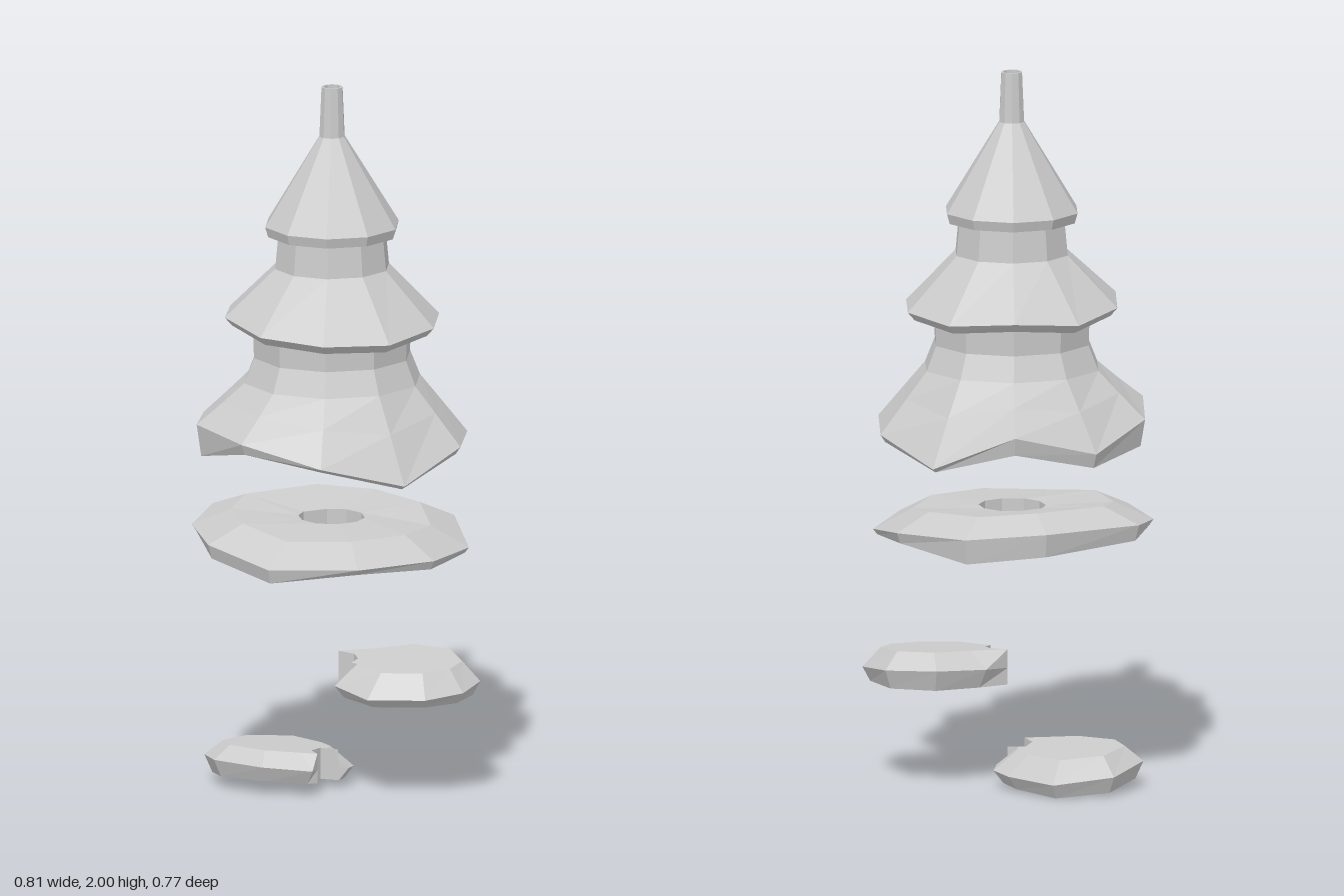
import * as THREE from 'three';

const CX = -0.013, CZ = -0.005, N = 10;

// Skins a stack of equal-length rings (outer side: top ring first) with flat quads
function loft(name, rings, wrap) {
  const pos = [];
  const n = rings[0].length;
  const last = wrap ? rings.length : rings.length - 1;
  for (let i = 0; i < last; i++) {
    const up = rings[i], low = rings[(i + 1) % rings.length];
    for (let j = 0; j < n; j++) {
      const k = (j + 1) % n;
      pos.push(...low[j], ...low[k], ...up[k], ...low[j], ...up[k], ...up[j]);
    }
  }
  const geo = new THREE.BufferGeometry();
  geo.setAttribute('position', new THREE.Float32BufferAttribute(pos, 3));
  geo.computeVertexNormals();
  const mat = new THREE.MeshStandardMaterial({ color: 0xcccccc, flatShading: true, side: THREE.DoubleSide });
  const mesh = new THREE.Mesh(geo, mat);
  mesh.name = name;
  return mesh;
}

// Ten-sided ring round the trunk axis; y is one height or one per corner
function ring(r, y) {
  return Array.from({ length: N }, (_, k) => {
    const a = (k / N) * Math.PI * 2;
    return [CX + r * Math.sin(a), Array.isArray(y) ? y[k] : y, CZ + r * Math.cos(a)];
  });
}

// Three flared tiers, hollow for the trunk
function upperTiers() {
  const hem = [1.0, 0.94, 1.01, 1.0, 0.94, 1.04, 0.98, 1.04, 1.06, 1.05];
  const lip = [0.99, 0.93, 0.99, 0.98, 0.93, 0.99, 0.94, 0.965, 0.97, 1.02];
  const midHem = [1.33, 1.325, 1.34, 1.34, 1.33, 1.345, 1.33, 1.35, 1.36, 1.34];
  const shoulder = hem.map(y => 1.095 + (y - 1.0) * 0.4);
  return loft('upperFoliage', [
    ring(0.03, 2), ring(0.036, 1.86),
    ring(0.19, 1.61), ring(0.182, 1.582), ring(0.152, 1.592),
    ring(0.162, 1.49), ring(0.305, midHem), ring(0.285, midHem.map(y => y - 0.023)), ring(0.225, 1.325),
    ring(0.222, 1.24), ring(0.25, 1.17), ring(0.31, shoulder), ring(0.385, hem), ring(0.372, lip),
    ring(0.1, 0.985), ring(0.09, 1.15), ring(0.024, 1.86), ring(0.024, 2),
  ], true);
}

// Wavy loose ring of foliage: rows are x, z, rim height, underside height
function lowerRing() {
  const rim = [
    [0.09, 0.375, 0.715, 0.70], [0.29, 0.245, 0.715, 0.69], [0.37, 0.03, 0.705, 0.69],
    [0.31, -0.21, 0.74, 0.71], [0.125, -0.37, 0.75, 0.68], [-0.1, -0.375, 0.765, 0.70],
    [-0.36, -0.215, 0.76, 0.715], [-0.405, -0.035, 0.742, 0.725], [-0.34, 0.205, 0.74, 0.70],
    [-0.16, 0.37, 0.71, 0.67],
  ];
  const scaled = (s, fy) => rim.map(p => [CX + (p[0] - CX) * s, fy(p), CZ + (p[1] - CZ) * s]);
  return loft('lowerFoliageRing', [
    scaled(0.24, () => 0.778),
    scaled(0.72, p => 0.785 + (p[2] - 0.735) * 0.7),
    scaled(1, p => p[2]),
    scaled(0.97, p => p[3]),
    scaled(0.6, () => 0.705),
    scaled(0.24, () => 0.712),
  ], true);
}

// Chunky clump; the last four corners form a notch for the trunk and keep straight walls
function clump(name, outline, [cx, cz], top, rim, bottom) {
  const scaled = (s, fy) => outline.map(([x, z], i) => {
    const f = i >= outline.length - 4 && s > 0 ? 1 : s;
    const px = cx + (x - cx) * f, pz = cz + (z - cz) * f;
    return [px, fy(px, pz), pz];
  });
  return loft(name, [
    scaled(0, top), scaled(0.72, top), scaled(1, rim), scaled(0.88, bottom), scaled(0, bottom),
  ], false);
}

export function createModel() {
  const model = new THREE.Group();
  model.name = 'conifer';
  model.add(upperTiers(), lowerRing());

  model.add(clump('sideClump', [
    [0, 0.07], [0.1, 0.18], [0.26, 0.175], [0.36, 0.11], [0.4, 0.01], [0.34, -0.14], [0.2, -0.19], [0.06, -0.13],
    [0, -0.065], [0.045, -0.04], [0.06, 0], [0.045, 0.04],
  ], [0.22, 0],
  (x, z) => 0.377 - z * 0.08,
  (x, z) => 0.322 - z * 0.12,
  (x, z) => 0.281 - z * 0.03));

  model.add(clump('lowestClump', [
    [0.03, -0.045], [0.04, -0.1], [0, -0.17], [-0.12, -0.28], [-0.29, -0.24], [-0.375, -0.1], [-0.34, 0],
    [-0.2, 0.08], [-0.06, 0.085],
    [-0.05, 0.04], [-0.07, -0.01], [-0.05, -0.06], [0, -0.05],
  ], [-0.19, -0.09],
  (x, z) => 0.108 - x * 0.04 + z * 0.06,
  (x, z) => 0.06 - x * 0.06 + z * 0.1,
  (x, z) => 0.023 - x * 0.03 + z * 0.11));
  return model;
}
